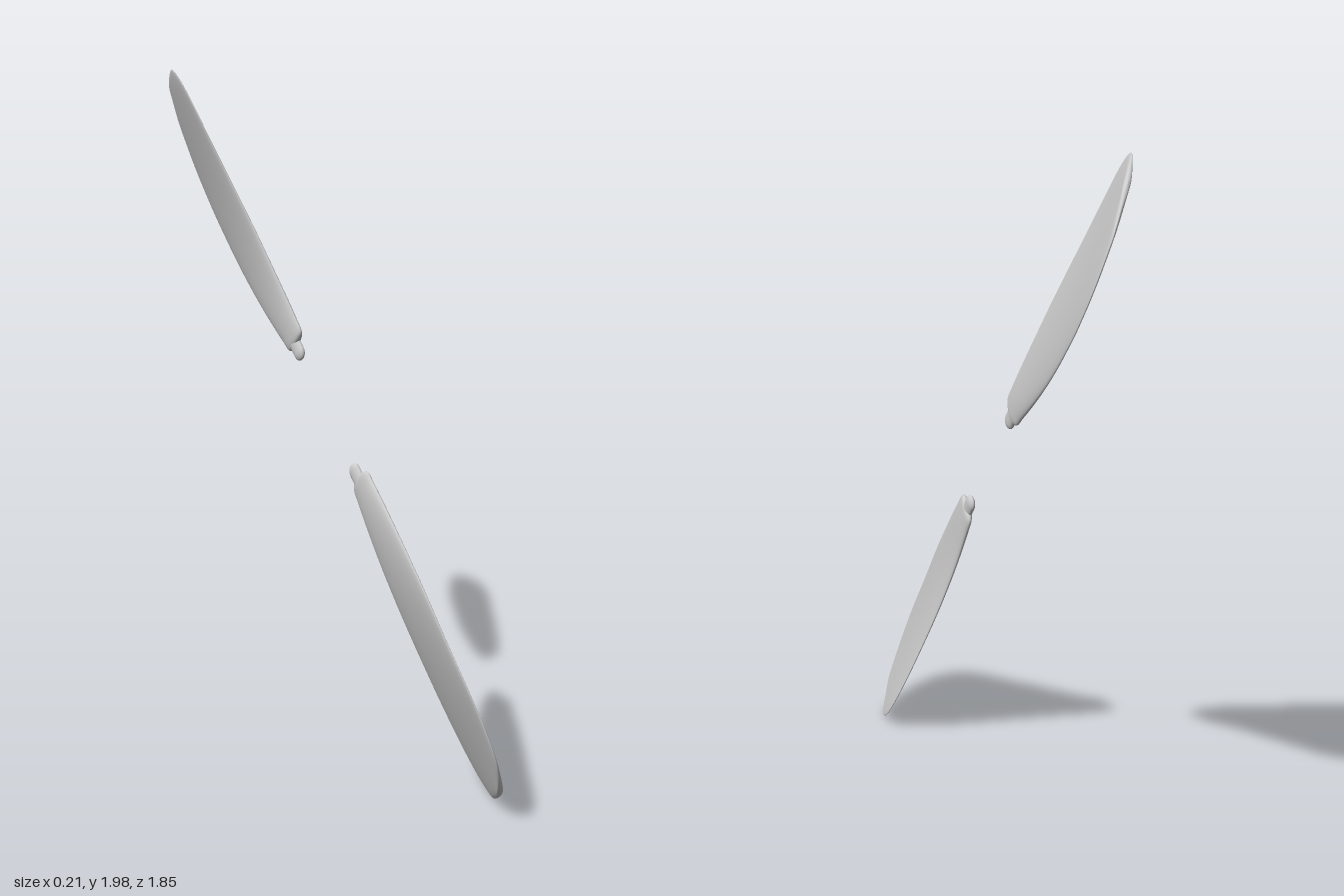
import * as THREE from 'three';

const material = new THREE.MeshStandardMaterial({ color: 0xcccccc });

// Blade outline: distance from hub, leading edge, trailing edge
const OUTLINE = [
  [0.238, 0.034, 0.034], [0.241, 0.07, -0.002], [0.252, 0.086, -0.018],
  [0.3, 0.094, -0.03], [0.49, 0.122, -0.081], [0.67, 0.152, -0.128],
  [0.78, 0.167, -0.155], [0.9, 0.183, -0.183], [1.0, 0.198, -0.195],
  [1.07, 0.203, -0.194], [1.124, 0.198, -0.182], [1.18, 0.178, -0.155],
  [1.215, 0.152, -0.126], [1.24, 0.105, -0.065], [1.253, 0.05, -0.01],
  [1.256, 0.018, 0.018],
].map((p) => new THREE.Vector3(...p));

// Pitch grows from the root to the tip
const pitch = (r) => 0.1 + 0.45 * Math.sin((Math.PI / 2) * (r - 0.25));

// Loft of twisted elliptical sections; dir = -1 mirrors the blade through the hub
function bladeGeometry(dir) {
  const curve = new THREE.CatmullRomCurve3(OUTLINE, false, 'centripetal');
  const rows = 90, sides = 40;
  const position = [], index = [];
  for (let i = 0; i <= rows; i++) {
    const p = curve.getPoint(i / rows);
    const centre = (p.y + p.z) / 2;
    const half = Math.max((p.y - p.z) / 2, 0.0002);
    const thick = Math.min(0.25 * half, 0.018 - 0.006 * p.x);
    for (let j = 0; j < sides; j++) {
      const a = (j / sides) * Math.PI * 2;
      const t = centre + half * Math.cos(a);
      position.push(thick * Math.sin(a) - pitch(p.x) * t, dir * p.x, t);
      if (i === rows) continue;
      const k = (j + 1) % sides;
      const q = [i * sides + j, i * sides + k, (i + 1) * sides + j, (i + 1) * sides + k];
      if (dir > 0) index.push(q[0], q[1], q[2], q[1], q[3], q[2]);
      else index.push(q[0], q[2], q[1], q[1], q[2], q[3]);
    }
  }
  const geometry = new THREE.BufferGeometry();
  geometry.setAttribute('position', new THREE.Float32BufferAttribute(position, 3));
  geometry.setIndex(index);
  geometry.computeVertexNormals();
  return geometry;
}

function createBlade(dir) {
  const group = new THREE.Group();
  group.name = dir > 0 ? 'upperBlade' : 'lowerBlade';

  const blade = new THREE.Mesh(bladeGeometry(dir), material);
  blade.name = 'blade';
  group.add(blade);

  // Flattened mounting stub at the root
  const stub = new THREE.Mesh(new THREE.CapsuleGeometry(0.025, 0.04, 8, 24).scale(0.45, 1, 1), material);
  stub.name = 'rootStub';
  stub.position.set(-0.003, dir * 0.234, 0.027);
  group.add(stub);
  return group;
}

export function createModel() {
  const model = new THREE.Group();
  model.name = 'propellerBlades';
  const pair = new THREE.Group();
  pair.name = 'bladePair';
  pair.add(createBlade(1), createBlade(-1));
  pair.rotation.x = -0.745;
  pair.position.y = 1;
  model.add(pair);
  return model;
}
